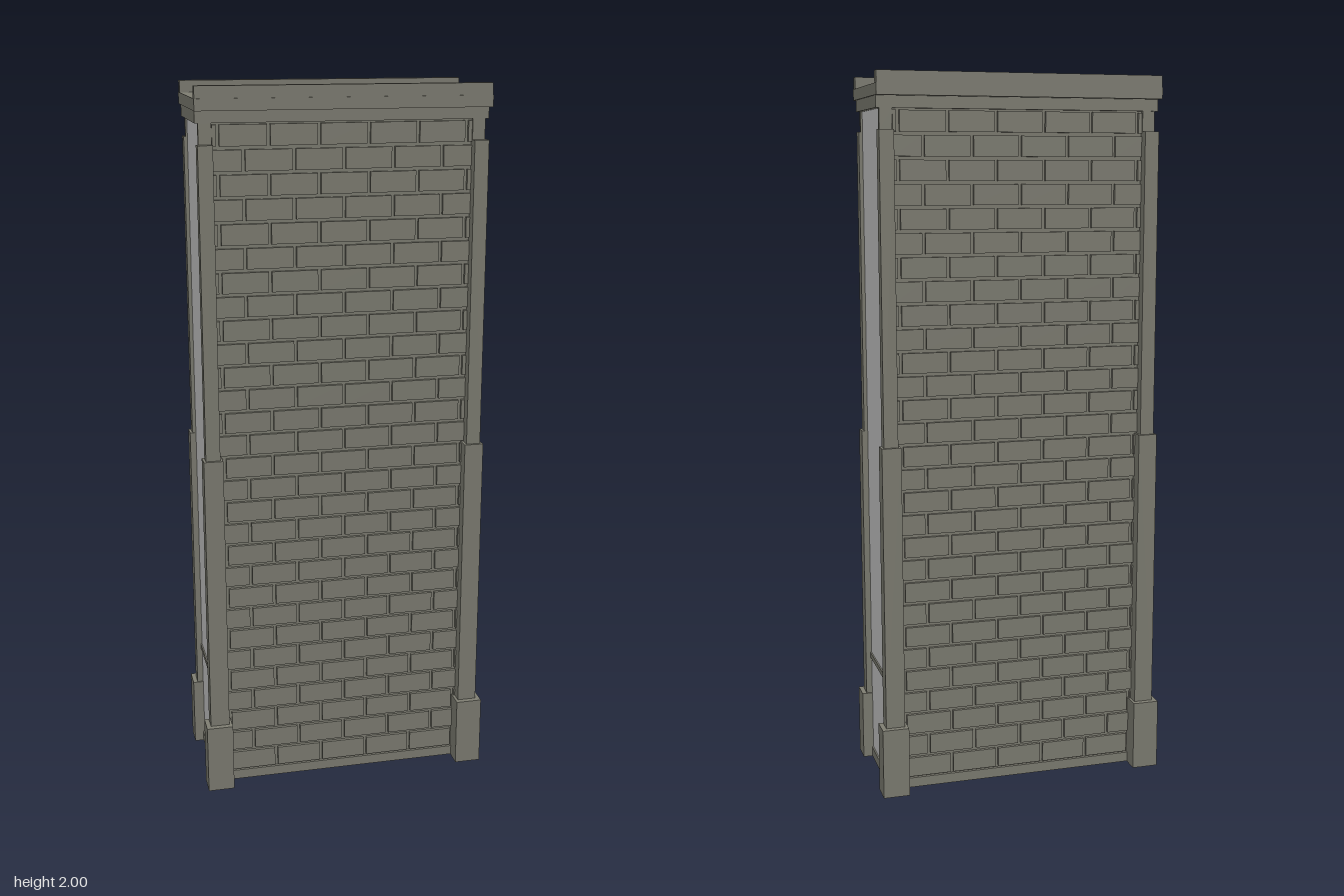
import * as THREE from 'three';

const stone = new THREE.MeshStandardMaterial({ name: 'stone', color: 0x7e7d72 });
const plaster = new THREE.MeshStandardMaterial({ name: 'pale plaster', color: 0xcacaca });

// Box given by its minimum and maximum corners
function block(parent, name, mat, [x0, y0, z0], [x1, y1, z1]) {
  const mesh = new THREE.Mesh(new THREE.BoxGeometry(x1 - x0, y1 - y0, z1 - z0), mat);
  mesh.position.set((x0 + x1) / 2, (y0 + y1) / 2, (z0 + z1) / 2);
  mesh.name = name;
  parent.add(mesh);
  return mesh;
}

// One face of staggered bricks standing proud of the wall core
function brickFace() {
  const group = new THREE.Group();
  group.name = 'brickFace';
  const rows = 29, bottom = 0.03, top = 1.905, half = 0.352;
  const pitch = (top - bottom) / rows, length = 0.135, gap = 0.009;
  for (let r = 0; r < rows; r++) {
    const y = top - (r + 1) * pitch;
    const shift = r % 2 ? 0 : length / 2;
    for (let k = -4; k < 4; k++) {
      const a = Math.max(-half, k * length + shift + gap / 2);
      const b = Math.min(half, (k + 1) * length + shift - gap / 2);
      if (b - a < 0.004) continue;
      block(group, 'brick', stone, [a, y + gap / 2, 0.12], [b, y + pitch - gap / 2, 0.136]);
    }
  }
  return group;
}

// L-shaped corner trim, extruded upwards
function cornerTrim(name, xIn, xOut, zIn, zOut, y0, y1, inner) {
  const pts = [[xIn, inner], [xIn, zOut], [xOut, zOut], [xOut, zIn], [0.37, zIn], [0.37, inner]];
  const shape = new THREE.Shape(pts.map(([x, z]) => new THREE.Vector2(x, -z)));
  const geo = new THREE.ExtrudeGeometry(shape, { depth: y1 - y0, bevelEnabled: false });
  geo.rotateX(-Math.PI / 2);
  geo.translate(0, y0, 0);
  const mesh = new THREE.Mesh(geo, stone);
  mesh.name = name;
  return mesh;
}

// Reverses triangle winding after mirroring the geometry in x
function mirrorX(mesh) {
  const geo = mesh.geometry.clone().scale(-1, 1, 1);
  const p = geo.attributes.position;
  const a = new THREE.Vector3(), b = new THREE.Vector3();
  for (let i = 0; i < p.count; i += 3) {
    a.fromBufferAttribute(p, i);
    b.fromBufferAttribute(p, i + 2);
    p.setXYZ(i, b.x, b.y, b.z);
    p.setXYZ(i + 2, a.x, a.y, a.z);
  }
  geo.computeVertexNormals();
  const copy = new THREE.Mesh(geo, stone);
  copy.name = mesh.name;
  return copy;
}

export function createModel() {
  const model = new THREE.Group();
  model.name = 'brickPillar';

  // Wall core, plinth and pale end panels
  block(model, 'wallCore', stone, [-0.375, 0.004, -0.127], [0.375, 1.91, 0.127]);
  block(model, 'plinth', stone, [-0.387, 0.002, -0.136], [0.387, 0.03, 0.136]);
  for (const s of [-1, 1]) {
    const end = new THREE.Group();
    end.name = s > 0 ? 'leftEnd' : 'rightEnd';
    block(end, 'lowerPanel', plaster, [0.37, 0.03, -0.126], [0.383, 0.312, 0.126]);
    block(end, 'panelBand', stone, [0.37, 0.312, -0.126], [0.387, 0.327, 0.126]);
    block(end, 'upperPanel', plaster, [0.37, 0.327, -0.126], [0.383, 1.905, 0.126]);
    end.rotation.y = s > 0 ? 0 : Math.PI;
    model.add(end);
  }

  // Each long side: bricks, stepped corner trims, frieze corners and cap lip
  for (const s of [1, -1]) {
    const side = new THREE.Group();
    side.name = s > 0 ? 'frontSide' : 'backSide';
    side.add(brickFace());
    const trims = [
      cornerTrim('cornerBase', 0.338, 0.413, 0.121, 0.184, 0, 0.2, 0.121),
      cornerTrim('lowerPilaster', 0.346, 0.4, 0.125, 0.168, 0.2, 1.0, 0.121),
      cornerTrim('upperPilaster', 0.353, 0.393, 0.127, 0.16, 1.0, 1.85, 0.121),
      cornerTrim('friezeCorner', 0.353, 0.388, 0.125, 0.138, 1.85, 1.905, 0.121),
    ];
    trims.forEach((t) => side.add(t, mirrorX(t)));
    block(side, 'capLip', stone, [-0.399, 1.968, 0.138], [0.399, 2, 0.163]);
    side.rotation.y = s > 0 ? 0 : Math.PI;
    model.add(side);
  }

  // Stepped cap
  block(model, 'capMoulding', stone, [-0.397, 1.905, -0.14], [0.397, 1.937, 0.14]);
  block(model, 'capSlab', stone, [-0.4, 1.937, -0.165], [0.4, 1.968, 0.165]);

  return model;
}
